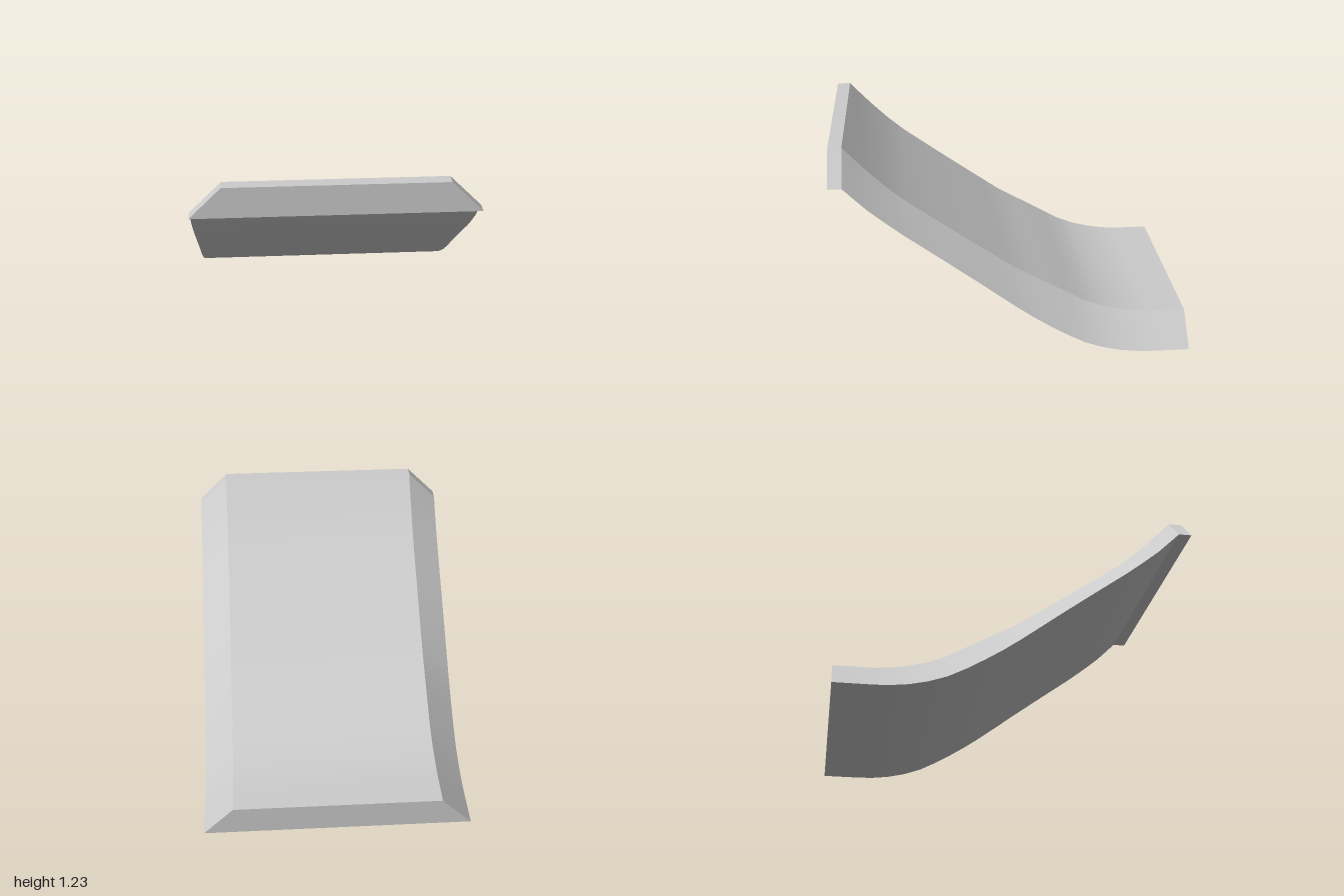
import * as THREE from 'three';
import { toCreasedNormals } from 'three/addons/utils/BufferGeometryUtils.js';

const BASE = 0.76, TOP = 0.59; // half widths of the bevelled cross-section

// Joins trapezoid sections [z, bottom, top], ordered from back to front, into a closed solid
function loft(sections) {
  const positions = [], index = [];
  for (const [z, b, t] of sections) {
    positions.push(-BASE, b, z, BASE, b, z, TOP, t, z, -TOP, t, z);
  }
  const last = (sections.length - 1) * 4;
  for (let i = 0; i < last; i += 4) {
    for (let j = 0; j < 4; j++) {
      const k = (j + 1) % 4;
      index.push(i + j, i + k, i + 4 + k, i + j, i + 4 + k, i + 4 + j);
    }
  }
  index.push(0, 2, 1, 0, 3, 2, last, last + 1, last + 2, last, last + 2, last + 3);
  const geometry = new THREE.BufferGeometry();
  geometry.setAttribute('position', new THREE.Float32BufferAttribute(positions, 3));
  geometry.setIndex(index);
  return toCreasedNormals(geometry, 0.5);
}

export function createModel() {
  const group = new THREE.Group();
  group.name = 'curvedRamp';
  const material = new THREE.MeshStandardMaterial({ color: 0xcccccc });
  const add = (name, sections) => {
    const mesh = new THREE.Mesh(loft(sections), material);
    mesh.name = name;
    group.add(mesh);
  };

  // Sloping slab: flat run-out at the back, rising to the front
  add('slopedSlab', [
    [-1, 0, 0.17], [-0.78, 0, 0.17], [-0.7, 0.003, 0.177], [-0.6, 0.015, 0.194],
    [-0.5, 0.038, 0.22], [-0.4, 0.073, 0.26], [-0.3, 0.125, 0.318], [-0.2, 0.185, 0.375],
    [-0.1, 0.25, 0.43], [0, 0.322, 0.488], [0.1, 0.398, 0.558], [0.2, 0.475, 0.628],
    [0.4, 0.625, 0.77], [0.6, 0.773, 0.915], [0.7, 0.852, 1.0], [0.8, 0.936, 1.097],
    [0.86, 0.995, 1.16], [0.925, 1.06, 1.23],
  ]);

  // Level lip along the top edge
  add('topLip', [[0.925, 1.06, 1.23], [1, 1.06, 1.23]]);

  return group;
}
